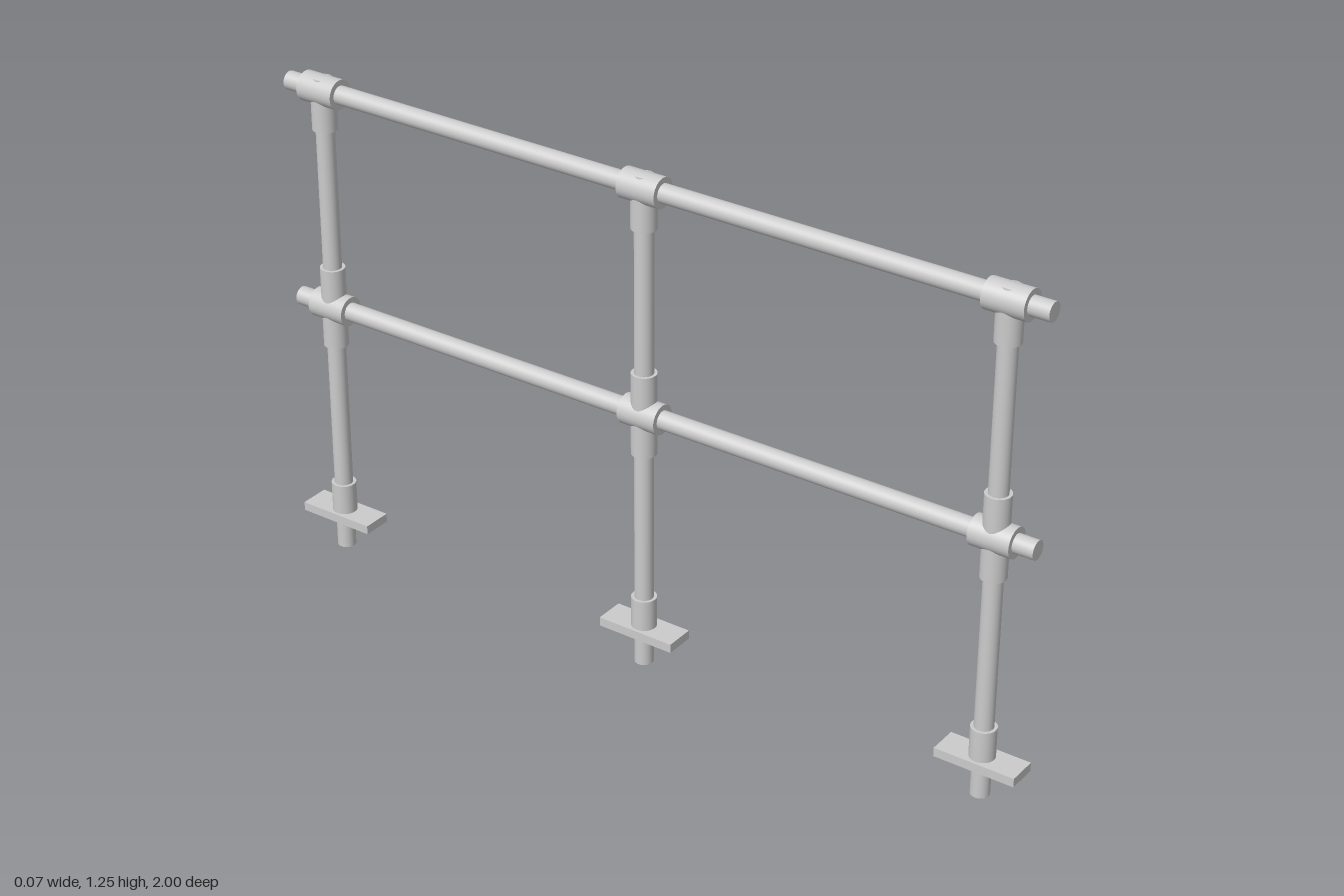
import * as THREE from 'three';

const PIPE_R = 0.0225, SLEEVE_R = 0.03, COLLAR_R = 0.036;
const TOP_Y = 1.209, MID_Y = 0.655;
const material = new THREE.MeshStandardMaterial({ color: 0xcccccc });

function add(parent, name, geometry) {
  const mesh = new THREE.Mesh(geometry, material);
  mesh.name = name;
  parent.add(mesh);
  return mesh;
}

// Vertical tube between two heights
function upright(parent, name, radius, y0, y1) {
  const geometry = new THREE.CylinderGeometry(radius, radius, y1 - y0, 40);
  add(parent, name, geometry).position.y = (y0 + y1) / 2;
}

// Tube along z, centred at a height
function level(parent, name, radius, length, y) {
  const geometry = new THREE.CylinderGeometry(radius, radius, length, 40).rotateX(Math.PI / 2);
  add(parent, name, geometry).position.y = y;
}

// Post with its base flange, cross fitting and top tee
function createPost() {
  const post = new THREE.Group();
  post.name = 'post';
  upright(post, 'postPipe', PIPE_R, 0, TOP_Y + 0.0305);

  add(post, 'basePlate', new THREE.BoxGeometry(0.074, 0.022, 0.2)).position.y = 0.088;
  upright(post, 'baseSocket', SLEEVE_R, 0.088, 0.176);

  upright(post, 'crossSleeve', SLEEVE_R, MID_Y - 0.1, MID_Y + 0.104);
  level(post, 'crossCollar', COLLAR_R, 0.1, MID_Y);

  upright(post, 'teeSleeve', SLEEVE_R, TOP_Y - 0.096, TOP_Y);
  level(post, 'teeCollar', COLLAR_R, 0.1, TOP_Y);
  return post;
}

export function createModel() {
  const model = new THREE.Group();
  model.name = 'guardRail';
  for (const z of [-0.9, 0, 0.9]) {
    const post = createPost();
    post.position.z = z;
    model.add(post);
  }
  // Horizontal rails running through the fittings
  level(model, 'topRail', PIPE_R, 2, TOP_Y);
  level(model, 'middleRail', PIPE_R, 2, MID_Y);
  return model;
}
